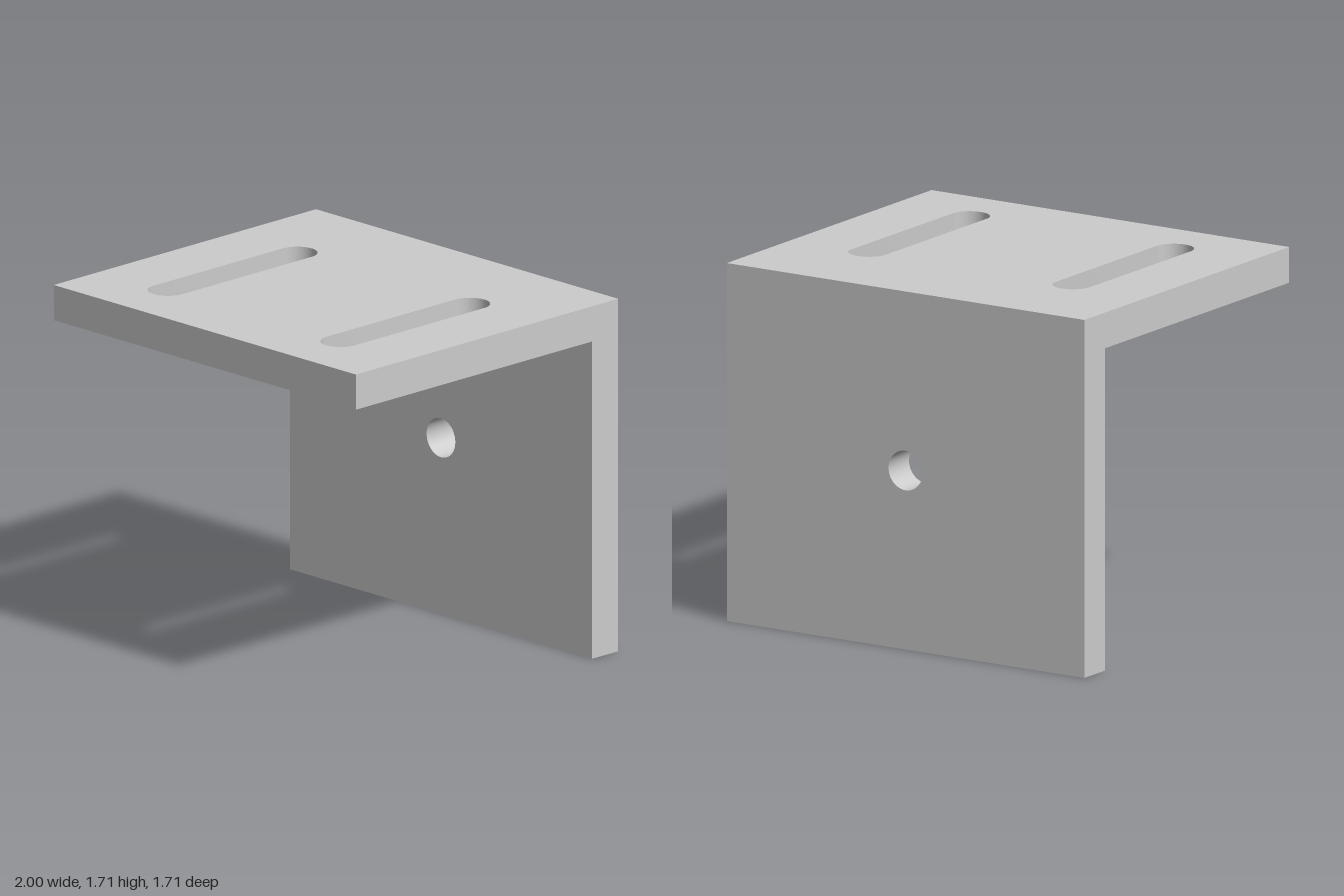
import * as THREE from 'three';
import { toCreasedNormals } from 'three/addons/utils/BufferGeometryUtils.js';

const W = 2, H = 1.714, D = 1.714, T = 0.171; // width, height, depth, plate thickness
const R = 0.095; // radius of the hole and of the slot ends

// Rectangle spanning the full width between two heights
function rectangle(y0, y1) {
  return new THREE.Shape([
    new THREE.Vector2(-W / 2, y0), new THREE.Vector2(W / 2, y0),
    new THREE.Vector2(W / 2, y1), new THREE.Vector2(-W / 2, y1),
  ]);
}

function extrudePlate(shape) {
  return new THREE.ExtrudeGeometry(shape, { depth: T, bevelEnabled: false, curveSegments: 24 });
}

// Moves each vertex by a rule, then keeps the edges sharp and the holes smooth
function finish(geometry, rule, name) {
  const p = geometry.attributes.position;
  const v = new THREE.Vector3();
  for (let i = 0; i < p.count; i++) {
    rule(v.fromBufferAttribute(p, i));
    p.setXYZ(i, v.x, v.y, v.z);
  }
  const mesh = new THREE.Mesh(
    toCreasedNormals(geometry, 0.5),
    new THREE.MeshStandardMaterial({ color: 0xcccccc }),
  );
  mesh.name = name;
  return mesh;
}

export function createModel() {
  const group = new THREE.Group();
  group.name = 'angleBracket';
  const near = (a, b) => Math.abs(a - b) < 1e-4;

  // Top plate with two long slots, mitred along its back edge
  const top = rectangle(-D / 2, D / 2);
  for (const x of [-0.571, 0.571]) {
    const slot = new THREE.Path();
    slot.absarc(x, 0.31, R, 0, Math.PI);
    slot.absarc(x, -0.533, R, Math.PI, 2 * Math.PI);
    slot.closePath();
    top.holes.push(slot);
  }
  const topGeometry = extrudePlate(top).rotateX(-Math.PI / 2).translate(0, H - T, 0);
  group.add(finish(topGeometry, (v) => {
    if (near(v.z, -D / 2) && near(v.y, H - T)) v.z += T;
  }, 'topPlate'));

  // Back plate with a round hole, mitred along its top edge
  const back = rectangle(0, H);
  back.holes.push(new THREE.Path().absarc(0, H / 2, R, 0, 2 * Math.PI));
  const backGeometry = extrudePlate(back).translate(0, 0, -D / 2);
  group.add(finish(backGeometry, (v) => {
    if (near(v.y, H) && near(v.z, T - D / 2)) v.y -= T;
  }, 'backPlate'));

  return group;
}
